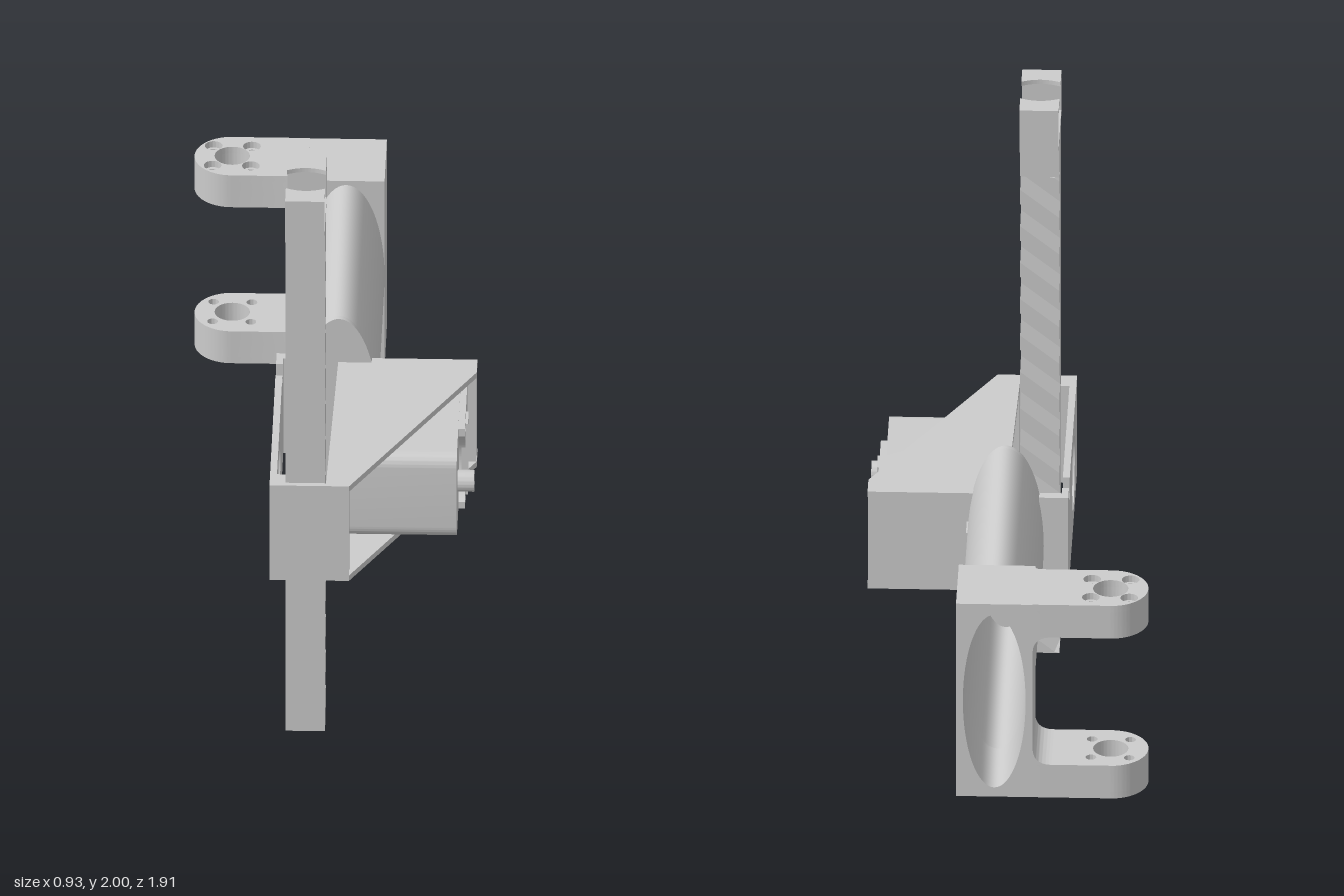
import * as THREE from 'three';
import { toCreasedNormals } from 'three/addons/utils/BufferGeometryUtils.js';

const material = new THREE.MeshStandardMaterial({ color: 0xcccccc });

export function createModel() {
  const model = new THREE.Group();

  const add = (name, geometry) => {
    const mesh = new THREE.Mesh(geometry, material);
    mesh.name = name;
    model.add(mesh);
    return mesh;
  };
  const box = (name, x0, x1, y0, y1, z0, z1) => {
    const g = new THREE.BoxGeometry(x1 - x0, y1 - y0, z1 - z0);
    return add(name, g.translate((x0 + x1) / 2, (y0 + y1) / 2, (z0 + z1) / 2));
  };
  const polygon = (points) => new THREE.Shape(points.map(([a, b]) => new THREE.Vector2(a, b)));
  const circle = (x, y, rx, ry = rx) => new THREE.Path().absellipse(x, y, rx, ry, 0, Math.PI * 2);
  const extrude = (shape, depth, steps = 1) =>
    new THREE.ExtrudeGeometry(shape, { depth, steps, bevelEnabled: false, curveSegments: 32 });
  const crease = (g) => toCreasedNormals(g, 0.6);
  // Shape drawn in (x, -z), raised from y0 to y1
  const plan = (name, shape, y0, y1) =>
    add(name, crease(extrude(shape, y1 - y0).rotateX(-Math.PI / 2).translate(0, y0, 0)));
  // Shape drawn in (-z, y), pushed from x0 to x1
  const side = (name, shape, x0, x1) =>
    add(name, crease(extrude(shape, x1 - x0).rotateY(Math.PI / 2).translate(x0, 0, 0)));
  // Shape drawn in (x, y), pushed from z0 to z1
  const front = (name, shape, z0, z1) =>
    add(name, crease(extrude(shape, z1 - z0).translate(0, 0, z0)));

  // Elliptical tube with closed front end
  const CX = 0.022, CY = 0.745;
  const oval = () => new THREE.Shape().absellipse(CX, CY, 0.122, 0.335, 0, Math.PI * 2);
  const tube = oval();
  tube.holes.push(circle(CX, CY, 0.1, 0.312));
  front('tube', tube, -0.7, 0.12);
  front('tubeEndCap', oval(), 0.12, 0.138);
  box('tubeTab', 0.12, 0.146, 0.67, 0.82, 0.03, 0.105);

  // Clevis block around the rear of the tube
  const block = polygon([[-0.1, 0.4], [0.144, 0.4], [0.144, 1.095], [-0.1, 1.095]]);
  block.holes.push(circle(CX, CY, 0.1, 0.312));
  front('clevisBlock', block, -0.957, -0.695);

  // Two clevis arms with bearing hole, screw holes and inner fillets
  const arm = (rim) => {
    const s = new THREE.Shape();
    s.moveTo(-0.1, 0.957);
    s.lineTo(-0.345, 0.957);
    s.absarc(-0.345, 0.838, 0.12, Math.PI / 2, Math.PI * 1.5, false);
    s.lineTo(-0.12, 0.718);
    s.quadraticCurveTo(-0.1, 0.718, -0.1, 0.697);
    s.holes.push(circle(-0.345, 0.84, 0.056));
    for (const a of [-1, 1]) for (const b of [-1, 1])
      s.holes.push(circle(-0.345 + a * 0.061, 0.84 + b * 0.061, rim));
    return s;
  };
  for (const dir of [-1, 1]) {
    const level = (d) => CY + 0.003 + dir * d;
    const slab = (name, shape, a, b) =>
      plan(name, shape, Math.min(level(a), level(b)), Math.max(level(a), level(b)));
    slab('clevisArm', arm(0.017), 0.23, 0.325);
    slab('clevisArmCounterbore', arm(0.028), 0.325, 0.348);
    const fillet = new THREE.Shape();
    fillet.moveTo(-0.1, level(0.23));
    fillet.lineTo(-0.16, level(0.23));
    fillet.quadraticCurveTo(-0.1, level(0.23), -0.1, level(0.17));
    front('clevisFillet', fillet, -0.957, -0.718);
  }

  // Guide plate on the right with round window and top notch
  const plate = polygon([[-0.91, 0.57], [-0.088, 0.57], [-0.088, 0.92], [-0.155, 0.92],
    [-0.155, 0.865], [-0.225, 0.865], [-0.225, 0.92], [-0.91, 0.92]]);
  plate.holes.push(circle(-0.58, CY, 0.12));
  side('guidePlate', plate, -0.178, -0.156);
  box('plateHook', -0.178, -0.085, 0.57, 0.92, 0.088, 0.12);

  // Front wall and guides holding the rack
  box('frontWall', -0.178, 0.075, 0.57, 0.92, 0.892, 0.91);
  box('rackGuide', -0.157, -0.128, 0.57, 0.92, 0.84, 0.893);
  box('frontPost', 0.003, 0.075, 0.57, 0.92, 0.84, 0.893);

  // Tapered motor housing: two shelves and a rear wall with screw holes
  const shelf = () => polygon([[0.02, -0.11], [0.001, -0.91], [0.075, -0.91], [0.462, -0.19], [0.462, -0.11]]);
  plan('housingTop', shelf(), 0.9, 0.92);
  plan('housingBottom', shelf(), 0.57, 0.59);
  const rear = polygon([[-0.19, 0.585], [-0.11, 0.585], [-0.11, 0.905], [-0.19, 0.905]]);
  for (const y of [0.62, 0.87]) rear.holes.push(circle(-0.165, y, 0.012));
  side('housingRearWall', rear, 0.021, 0.461);

  // Servo motor with rounded front corners
  const servo = new THREE.Shape();
  servo.moveTo(-0.18, 0.595);
  servo.lineTo(-0.18, 0.898);
  servo.lineTo(-0.64, 0.898);
  servo.quadraticCurveTo(-0.688, 0.898, -0.688, 0.85);
  servo.lineTo(-0.688, 0.643);
  servo.quadraticCurveTo(-0.688, 0.595, -0.64, 0.595);
  side('servoBody', servo, 0.03, 0.412);

  // Servo face plate, cut round the shaft, with slot and screw holes
  const face = new THREE.Shape();
  const cut = Math.PI / 3;
  face.moveTo(-0.19, 0.6);
  face.lineTo(-0.5, 0.6);
  face.absarc(-0.57, CY, 0.14, -cut, cut, false);
  face.lineTo(-0.5, 0.895);
  face.lineTo(-0.19, 0.895);
  face.holes.push(polygon([[-0.427, 0.63], [-0.368, 0.63], [-0.368, 0.86], [-0.427, 0.86]]));
  for (const y of [0.62, 0.875]) face.holes.push(circle(-0.465, y, 0.012));
  side('servoFacePlate', face, 0.411, 0.433);
  const frame = polygon([[-0.437, 0.615], [-0.358, 0.615], [-0.358, 0.875], [-0.437, 0.875]]);
  frame.holes.push(polygon([[-0.425, 0.632], [-0.37, 0.632], [-0.37, 0.858], [-0.425, 0.858]]));
  side('servoSlotFrame', frame, 0.42, 0.441);
  const shaft = new THREE.Shape().absarc(-0.57, CY, 0.035, 0, Math.PI * 2, false);
  shaft.holes.push(circle(-0.57, CY, 0.014));
  side('servoShaft', shaft, 0.41, 0.465);

  // Rack bar
  const X0 = -0.127, X1 = -0.002, TOP = 1.72, PITCH = 0.1317;
  box('rackBar', X0, X1, 0, 1.85, 0.83, 0.89);
  box('rackHead', X0, X1, TOP, 1.85, 0.755, 0.83);

  // Helical rack teeth, sheared across the bar and trimmed at both ends
  for (let k = 0; k < 14; k++) {
    const y = (k + 0.5) * PITCH;
    const tooth = polygon([[-0.832, y - 0.046], [-0.755, y - 0.026], [-0.755, y + 0.026], [-0.832, y + 0.046]]);
    const g = extrude(tooth, X1 - X0, 8).rotateY(Math.PI / 2).translate(X0, 0, 0);
    const p = g.attributes.position;
    for (let i = 0; i < p.count; i++) {
      const sheared = p.getY(i) + (p.getX(i) - X1) * 0.8;
      p.setY(i, THREE.MathUtils.clamp(sheared, 0, TOP));
    }
    g.computeVertexNormals();
    add('rackTooth', g);
  }

  // Clip on top of the rack: tray, walls and lips with curved edges
  const MZ = 0.817;
  box('clipBase', X0, X1, 1.848, 1.863, MZ - 0.138, MZ + 0.138);
  for (const s of [-1, 1]) {
    const outer = MZ + s * 0.138, inner = MZ + s * 0.123, edge = MZ + s * 0.055;
    box('clipWall', X0, X1, 1.85, 2, Math.min(outer, inner), Math.max(outer, inner));
    const lip = new THREE.Shape();
    lip.moveTo(X0, -outer);
    lip.lineTo(X1, -outer);
    lip.lineTo(X1, -edge);
    lip.quadraticCurveTo((X0 + X1) / 2, -(MZ + s * 0.087), X0, -edge);
    plan('clipLip', lip, 1.985, 2);
  }

  return model;
}
